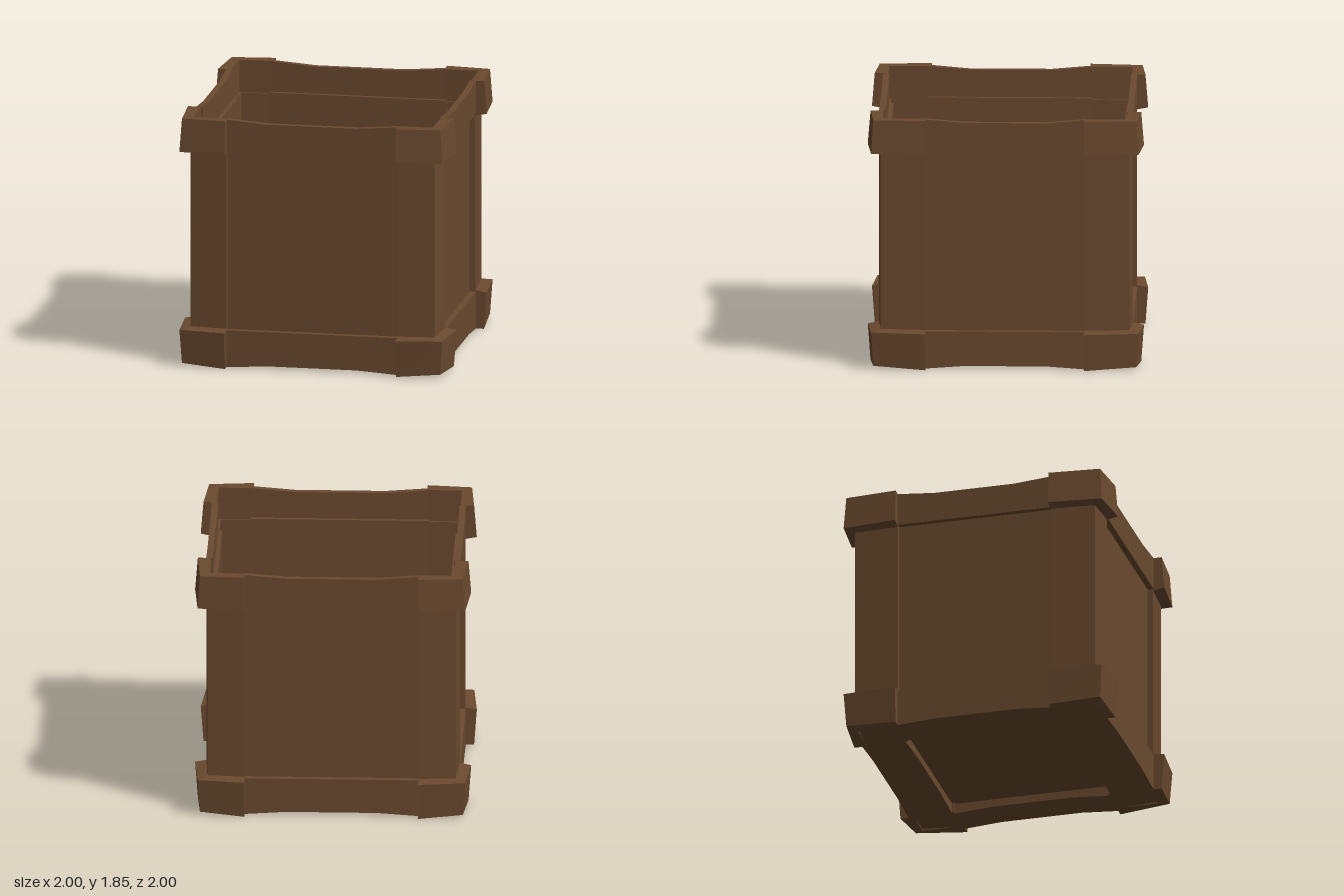
import * as THREE from 'three';

const HX = 0.63, HZ = 0.575; // half spans between the corner pieces

export function createModel() {
  const crate = new THREE.Group();
  crate.name = 'crate';
  const wood = new THREE.MeshStandardMaterial({ color: 0x6b4a2f });
  wood.name = 'brown wood';
  wood.flatShading = true;

  const add = (name, geometry) => {
    const mesh = new THREE.Mesh(geometry, wood);
    mesh.name = name;
    crate.add(mesh);
    return mesh;
  };

  // L-shaped solid between two six-point rings (outer end, corner, end; inner end, corner, end)
  const lSolid = (low, high, sx, sz) => {
    const place = ring => {
      const pts = ring.map(([x, y, z]) => [x * sx, y, z * sz]);
      return sx * sz < 0 ? pts.reverse() : pts;
    };
    const a = place(low), b = place(high), out = [];
    const quad = (p, q, r, s) => out.push(...p, ...q, ...r, ...p, ...r, ...s);
    for (let i = 0; i < 6; i++) {
      const j = (i + 1) % 6;
      quad(a[i], a[j], b[j], b[i]);
    }
    quad(b[0], b[1], b[4], b[5]);
    quad(b[1], b[2], b[3], b[4]);
    quad(a[5], a[4], a[1], a[0]);
    quad(a[4], a[3], a[2], a[1]);
    const g = new THREE.BufferGeometry();
    g.setAttribute('position', new THREE.Float32BufferAttribute(out, 3));
    g.computeVertexNormals();
    return g;
  };

  // Ring: e = outer reach at the ends, c = at the corner, i = inner reach; heights per zone
  const ring = (e, c, i, ic, yEnd, yCorner, yIn) => [
    [HX, yEnd, e], [c, yCorner, c], [e, yEnd, HZ],
    [i, yIn, HZ], [ic, yIn, ic], [HX, yIn, i],
  ];
  // Ring whose inner corner fills the whole footprint
  const plateRing = (e, c, yEnd, yCorner) => [
    [HX, yEnd, e], [c, yCorner, c], [e, yEnd, HZ],
    [0.88, yEnd, HZ], [HX, yEnd, HZ], [HX, yEnd, 0.88],
  ];

  // Corner posts, flared caps and feet
  for (const sx of [1, -1]) for (const sz of [1, -1]) {
    add('cornerPost', lSolid(
      ring(0.917, 0.9, 0.872, 0.865, 0.07, 0.07, 0.07),
      ring(0.917, 0.9, 0.872, 0.865, 1.61, 1.61, 1.61), sx, sz));
    add('topCornerCap', lSolid(
      ring(1.0, 0.968, 0.885, 0.88, 1.608, 1.605, 1.585),
      ring(0.98, 0.952, 0.885, 0.88, 1.852, 1.85, 1.85), sx, sz));
    add('bottomCornerCap', lSolid(
      ring(0.98, 0.952, 0.885, 0.88, 0.005, 0.03, 0.01),
      ring(1.0, 0.968, 0.885, 0.88, 0.275, 0.28, 0.297), sx, sz));
    add('bottomCornerPlate', lSolid(
      plateRing(0.978, 0.95, 0.005, 0.03),
      plateRing(0.978, 0.95, 0.085, 0.085), sx, sz));
  }

  // Bar along x with a bent top or bottom edge, spanning z from near to far
  const bar = (half, ends, mid, flat, near, far) => {
    const s = new THREE.Shape();
    const m = half * 0.52;
    s.moveTo(-half, flat);
    s.lineTo(-half, ends);
    s.lineTo(-m, mid);
    s.lineTo(m, mid);
    s.lineTo(half, ends);
    s.lineTo(half, flat);
    const g = new THREE.ExtrudeGeometry(s, { depth: far - near, bevelEnabled: false });
    g.translate(0, 0, near);
    return g;
  };

  // Four sides: wall panel, upper and lower beams, base frame
  for (let k = 0; k < 4; k++) {
    const half = k % 2 ? HZ : HX;
    const turn = k * Math.PI / 2;
    const panel = new THREE.BoxGeometry(half * 2 + 0.04, 1.37, 0.03);
    panel.translate(0, 0.94, 0.86);
    const parts = [
      ['wallPanel', panel],
      ['topBeam', bar(half, 1.85, 1.826, 1.605, 0.875, 0.92)],
      ['bottomBeam', bar(half, 0.005, 0.025, 0.28, 0.875, 0.92)],
      ['baseFrame', bar(half, 0.005, 0.025, 0.085, k % 2 ? 0.65 : 0.595, 0.9)],
    ];
    for (const [name, g] of parts) add(name, g).rotation.y = turn;
  }

  // Recessed floor
  add('floorPanel', new THREE.BoxGeometry(1.3, 0.03, 1.19)).position.y = 0.098;

  return crate;
}
